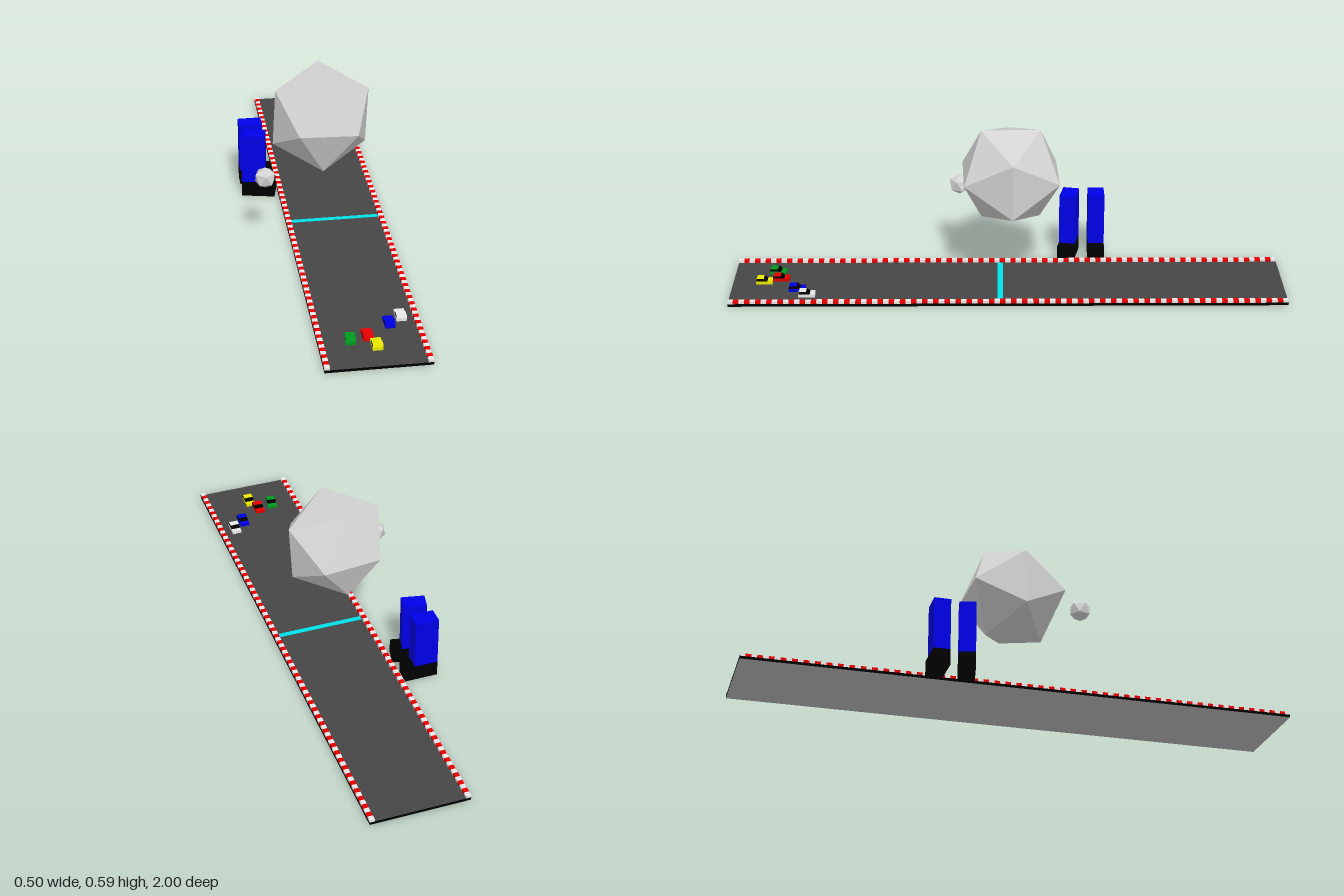
import * as THREE from 'three';
import { mergeGeometries } from 'three/addons/utils/BufferGeometryUtils.js';

const mat = (name, color) => {
  const m = new THREE.MeshStandardMaterial({ color, flatShading: true });
  m.name = name;
  return m;
};

export function createModel() {
  const asphalt = mat('asphalt grey', 0x464646);
  const concrete = mat('concrete grey', 0xc0c0c0);
  const black = mat('black', 0x000000);
  const blue = mat('blue', 0x0000ff);
  const stone = mat('stone grey', 0xd3d3d3);
  const white = mat('white', 0xeeeeee);
  const red = mat('red', 0xff0000);
  const cyan = mat('cyan', 0x00f0f8);
  const green = mat('green', 0x009920);
  const yellow = mat('yellow', 0xffff00);

  const model = new THREE.Group();
  const add = (parent, name, geometry, material, x = 0, y = 0, z = 0) => {
    const mesh = new THREE.Mesh(geometry, material);
    mesh.name = name;
    mesh.position.set(x, y, z);
    parent.add(mesh);
    return mesh;
  };

  // Road slab with black edges and a pale underside
  add(model, 'road', new THREE.BoxGeometry(0.36, 0.01, 2),
    [black, black, asphalt, concrete, black, black], 0.067, 0.005, 0);
  // Thin line painted across the road
  add(model, 'finishLine', new THREE.BoxGeometry(0.326, 0.0006, 0.02), cyan, 0.067, 0.0103, 0.028);

  // Striped kerbs along both edges, white at both ends
  const blocks = 101, step = 2 / blocks;
  for (const [side, x] of [['right', -0.104], ['left', 0.238]]) {
    const stripes = [[], []];
    for (let i = 0; i < blocks; i++) {
      const box = new THREE.BoxGeometry(0.018, 0.01, step);
      box.translate(x, 0.015, 1 - (i + 0.5) * step);
      stripes[i % 2].push(box);
    }
    add(model, side + 'KerbWhite', mergeGeometries(stripes[0]), white);
    add(model, side + 'KerbRed', mergeGeometries(stripes[1]), red);
  }

  // Two legs with black shoes beside the road
  const addLeg = (name, x, z, turn) => {
    const leg = new THREE.Group();
    leg.name = name;
    leg.position.set(x, 0, z);
    leg.rotation.y = turn;
    add(leg, 'shoe', new THREE.BoxGeometry(0.122, 0.059, 0.06), black, 0, 0.0295, 0);
    add(leg, 'trouserLeg', new THREE.BoxGeometry(0.086, 0.19, 0.06), blue, -0.018, 0.154, 0);
    model.add(leg);
  };
  addLeg('backLeg', -0.185, -0.33, 0);
  addLeg('frontLeg', -0.183, -0.227, -0.21);

  // Floating twenty-sided rocks
  const bigRock = new THREE.IcosahedronGeometry(0.2, 0);
  bigRock.rotateZ(THREE.MathUtils.degToRad(87)).rotateY(THREE.MathUtils.degToRad(2.4));
  add(model, 'bigRock', bigRock, stone, 0.02, 0.417, -0.01);
  const smallRock = new THREE.IcosahedronGeometry(0.04, 0);
  smallRock.rotateZ(THREE.MathUtils.degToRad(31.7)).rotateY(Math.PI / 2);
  add(model, 'smallRock', smallRock, stone, -0.205, 0.283, 0.178);

  // Small cars heading towards -z, with dark windscreen and side windows
  const cabinShape = new THREE.BoxGeometry(0.035, 0.009, 0.042);
  const p = cabinShape.attributes.position;
  for (let i = 0; i < p.count; i++) {
    if (p.getY(i) > 0) p.setZ(i, p.getZ(i) + (p.getZ(i) < 0 ? 0.013 : -0.004));
  }
  cabinShape.computeVertexNormals();
  const addCar = (name, paint, x, z, turn = 0) => {
    const car = new THREE.Group();
    car.name = name;
    car.position.set(x, 0, z);
    car.rotation.y = turn;
    add(car, 'body', new THREE.BoxGeometry(0.035, 0.012, 0.06), paint, 0, 0.02, 0);
    add(car, 'cabin', cabinShape, [black, black, paint, paint, paint, black], 0, 0.0305, 0.009);
    model.add(car);
  };
  addCar('greenCar', green, -0.004, 0.842, -0.1);
  addCar('redCar', red, 0.055, 0.826);
  addCar('yellowCar', yellow, 0.077, 0.885);
  addCar('blueCar', blue, 0.14, 0.76);
  addCar('whiteCar', white, 0.185, 0.722);

  return model;
}
